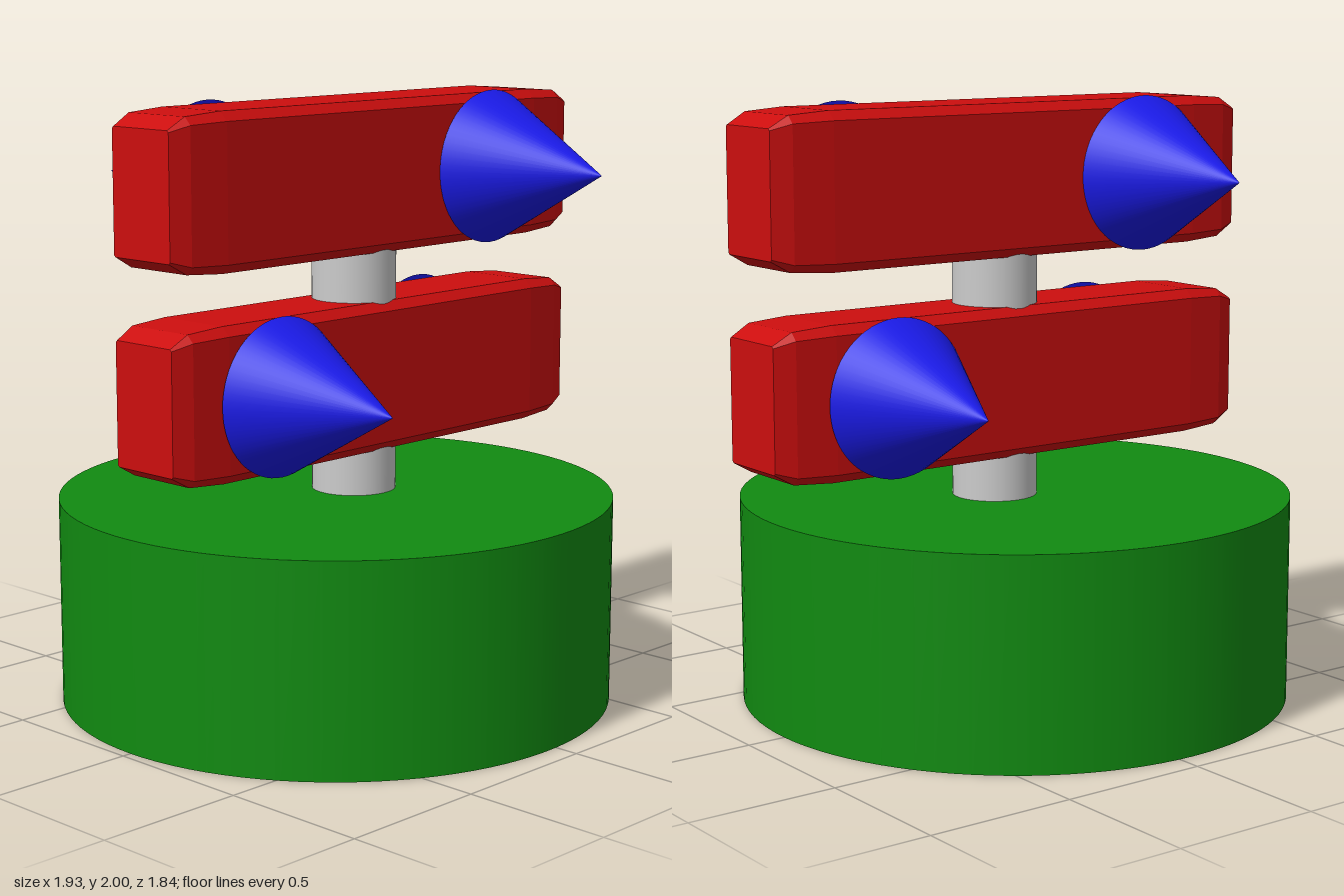
import * as THREE from 'three';

const red = new THREE.MeshStandardMaterial({ color: 0xcc0e0e, flatShading: true });
const green = new THREE.MeshStandardMaterial({ color: 0x118a11 });
const blue = new THREE.MeshStandardMaterial({ color: 0x1a1ae6 });
const grey = new THREE.MeshStandardMaterial({ color: 0xcccccc });

// Chamfered rectangular section in the YZ plane, counter-clockwise seen from +x
function section(x, hy, hz, c) {
  const corners = [
    [hy, -hz + c], [hy, hz - c], [hy - c, hz], [-hy + c, hz],
    [-hy, hz - c], [-hy, -hz + c], [-hy + c, -hz], [hy - c, -hz],
  ];
  return corners.map(([y, z]) => [x, y, z]);
}

// Beam lofted through sections that taper in towards both ends
function beamGeometry() {
  const half = [[0.927, 0.2, 0.128, 0.006], [0.86, 0.238, 0.152, 0.025], [0.72, 0.248, 0.162, 0.03]];
  const rings = [
    ...half.map(([x, ...s]) => section(-x, ...s)),
    ...half.slice().reverse().map(([x, ...s]) => section(x, ...s)),
  ];
  const n = rings[0].length;
  const index = [];
  for (let r = 0; r < rings.length - 1; r++) {
    for (let i = 0; i < n; i++) {
      const a = r * n + i, a2 = r * n + (i + 1) % n;
      index.push(a, a2, a + n, a2, a2 + n, a + n);
    }
  }
  const last = (rings.length - 1) * n;
  for (let i = 1; i < n - 1; i++) {
    index.push(0, i + 1, i, last, last + i, last + i + 1);
  }
  const geometry = new THREE.BufferGeometry();
  geometry.setAttribute('position', new THREE.Float32BufferAttribute(rings.flat(2), 3));
  geometry.setIndex(index);
  geometry.computeVertexNormals();
  return geometry;
}

export function createModel() {
  const model = new THREE.Group();
  const add = (name, geometry, material, x, y, z) => {
    const mesh = new THREE.Mesh(geometry, material);
    mesh.name = name;
    mesh.position.set(x, y, z);
    model.add(mesh);
    return mesh;
  };

  // Drum base and central post
  add('base', new THREE.CylinderGeometry(0.92, 0.92, 0.69, 96), green, -0.05, 0.345, 0);
  add('post', new THREE.CylinderGeometry(0.14, 0.14, 1.08, 48), grey, 0.035, 1.21, 0);

  // Two stacked beams, each with one spike in front and one behind on opposite ends
  const beam = beamGeometry();
  const spike = new THREE.ConeGeometry(0.257, 0.475, 64).rotateX(Math.PI / 2);
  const tiers = [
    { name: 'lower', y: 1.085, frontX: -0.46, backX: 0.53 },
    { name: 'upper', y: 1.743, frontX: 0.53, backX: -0.46 },
  ];
  for (const { name, y, frontX, backX } of tiers) {
    add(name + 'Beam', beam, red, 0.037, y, 0);
    add(name + 'FrontSpike', spike, blue, frontX, y, 0.403);
    add(name + 'BackSpike', spike, blue, backX, y, -0.403).rotation.y = Math.PI;
  }
  return model;
}
